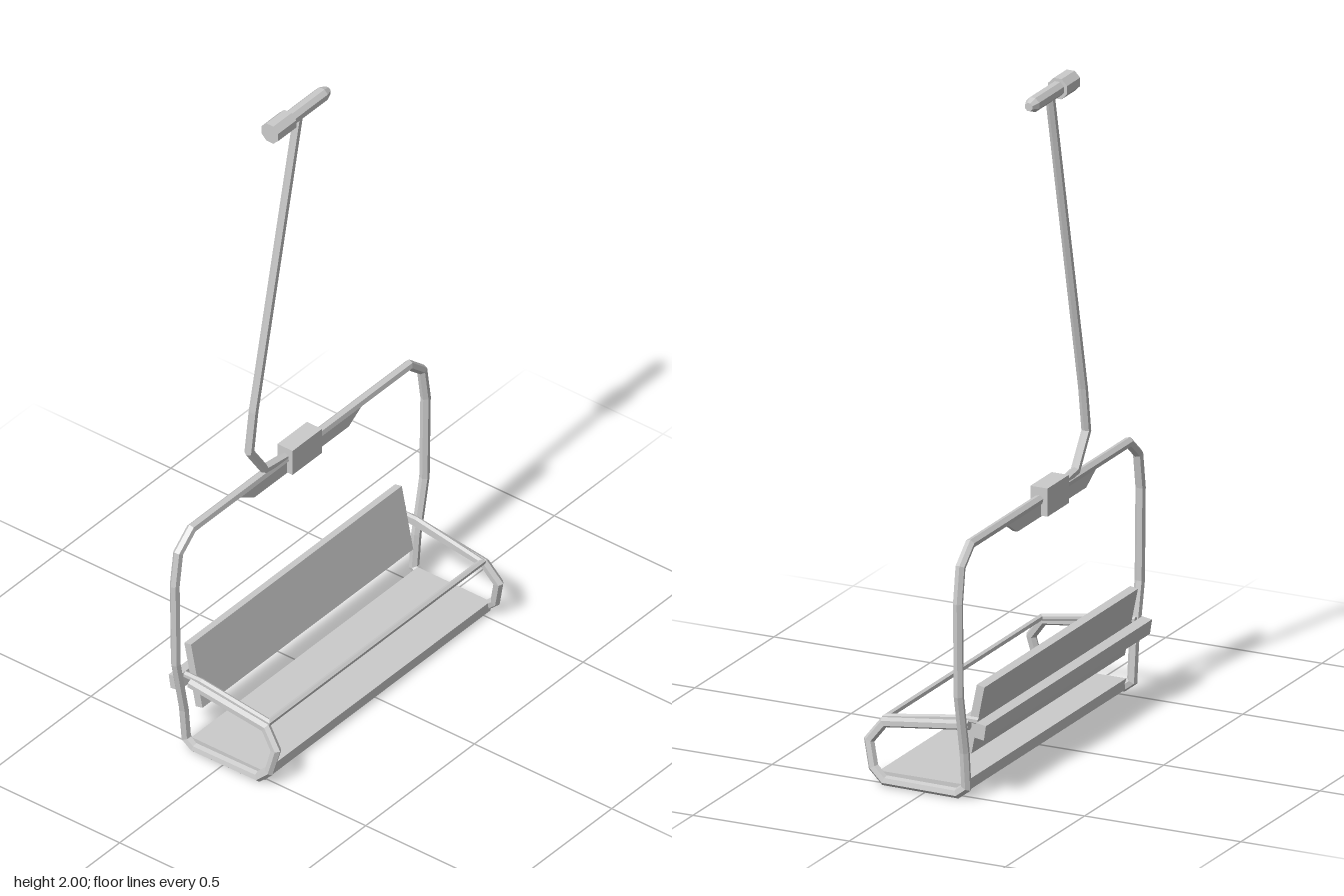
import * as THREE from 'three';

const steel = new THREE.MeshStandardMaterial({ color: 0xcccccc, flatShading: true, side: THREE.DoubleSide });

// Straight-sided tube along a polyline, with mitred corners and capped ends
function pipe(points, radius, sides = 6) {
  const p = points.map((a) => new THREE.Vector3(...a));
  const dirs = p.slice(1).map((q, i) => q.clone().sub(p[i]).normalize());
  const u = new THREE.Vector3(0, 0, 1);
  if (Math.abs(dirs[0].z) > 0.8) u.set(1, 0, 0);
  u.addScaledVector(dirs[0], -u.dot(dirs[0])).normalize();
  const v = dirs[0].clone().cross(u);
  let ring = [];
  for (let k = 0; k < sides; k++) {
    const a = ((k + 0.5) / sides) * Math.PI * 2;
    ring.push(p[0].clone().addScaledVector(u, Math.cos(a) * radius).addScaledVector(v, Math.sin(a) * radius));
  }
  const pos = [], idx = [];
  const put = (w) => pos.push(w.x, w.y, w.z);
  ring.forEach(put);
  for (let i = 1; i < p.length; i++) {
    const d = dirs[i - 1];
    const n = d.clone().add(dirs[i] || d).normalize();
    // slide the previous ring along the segment onto the mitre plane
    ring = ring.map((w) => w.clone().addScaledVector(d, p[i].clone().sub(w).dot(n) / d.dot(n)));
    ring.forEach(put);
    for (let k = 0; k < sides; k++) {
      const a = (i - 1) * sides + k, b = (i - 1) * sides + ((k + 1) % sides);
      idx.push(a, b, b + sides, a, b + sides, a + sides);
    }
  }
  const last = (p.length - 1) * sides;
  for (let k = 1; k < sides - 1; k++) idx.push(0, k + 1, k, last, last + k, last + k + 1);
  const g = new THREE.BufferGeometry();
  g.setAttribute('position', new THREE.Float32BufferAttribute(pos, 3));
  g.setIndex(idx);
  g.computeVertexNormals();
  return g;
}

export function createModel() {
  const model = new THREE.Group();
  const add = (name, geometry, x = 0, y = 0, z = 0) => {
    const mesh = new THREE.Mesh(geometry, steel);
    mesh.name = name;
    mesh.position.set(x, y, z);
    model.add(mesh);
    return mesh;
  };
  const mirror = (pts) => pts.map(([x, y, z]) => [-x, y, z]).reverse();
  const Z = -0.134;

  // Continuous frame: armrest, side loop under the seat, upright, top rail, then mirrored
  const half = [
    [0.505, 0.222, Z], [0.503, 0.188, 0.14], [0.512, 0.132, 0.183], [0.52, 0.055, 0.165],
    [0.523, 0.021, 0.128], [0.523, 0.018, -0.105], [0.524, 0.04, Z], [0.535, 0.15, Z],
    [0.572, 0.33, Z], [0.577, 0.61, Z], [0.561, 0.716, Z], [0.5, 0.768, Z],
  ];
  add('frame', pipe([...half, ...mirror(half)], 0.015));

  // Seat and tilted backrest
  add('seat', new THREE.BoxGeometry(1.04, 0.032, 0.265), 0, 0.03, 0.015);
  add('backrest', new THREE.BoxGeometry(0.97, 0.21, 0.025), 0, 0.235, -0.139).rotation.x = -0.2;

  // Beam behind the backrest, joining the two armrests
  add('backBeam', new THREE.BoxGeometry(1.05, 0.045, 0.032), 0, 0.215, -0.178).rotation.x = -0.15;

  // Safety bar: two arms and a front crossbar
  const arm = [[0.495, 0.236, -0.16], [0.495, 0.236, -0.1], [0.49, 0.2, 0.14]];
  add('safetyBar', pipe([...arm, ...mirror(arm)], 0.01));

  // Stiffening plate below the top rail
  const plate = new THREE.Shape([[-0.31, 0.772], [-0.22, 0.718], [0.215, 0.718], [0.3, 0.772]]
    .map(([x, y]) => new THREE.Vector2(x, y)));
  add('stiffeningPlate', new THREE.ExtrudeGeometry(plate, { depth: 0.014, bevelEnabled: false }), 0, 0, Z - 0.007);

  // Clamp block and bent hanger rod
  add('clampBlock', new THREE.BoxGeometry(0.135, 0.085, 0.055), -0.002, 0.763, Z);
  add('hangerRod', pipe([
    [-0.012, 1.965, -0.13], [-0.217, 1.02, -0.132], [-0.234, 0.885, Z],
    [-0.165, 0.785, Z], [-0.03, 0.768, Z],
  ], 0.014));

  // Cable grip: thick sleeve and a slimmer tapered pin
  const profile = [[0, -0.147], [0.033, -0.147], [0.033, -0.064], [0.023, -0.064], [0.023, 0.093], [0.013, 0.118], [0, 0.118]];
  const grip = new THREE.LatheGeometry(profile.map(([r, y]) => new THREE.Vector2(r, y)), 8);
  grip.rotateY(Math.PI / 8);
  grip.rotateZ(-Math.PI / 2);
  add('cableGrip', grip, 0, 1.968, -0.128);

  return model;
}
